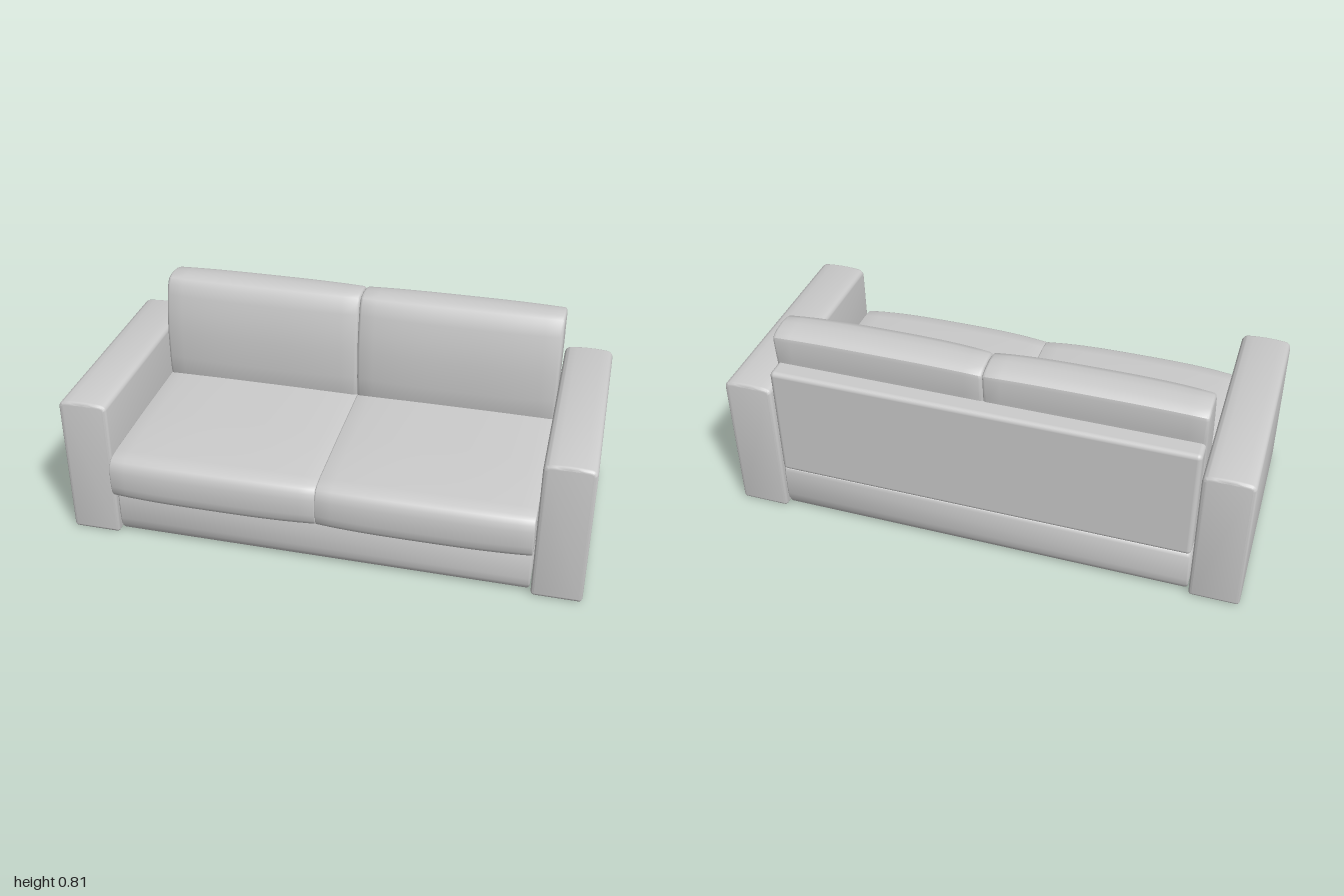
import * as THREE from 'three';
import { toCreasedNormals } from 'three/addons/utils/BufferGeometryUtils.js';
import { RoundedBoxGeometry } from 'three/addons/geometries/RoundedBoxGeometry.js';

const material = new THREE.MeshStandardMaterial({ color: 0xcccccc });

function addMesh(group, name, geometry) {
  const mesh = new THREE.Mesh(geometry, material);
  mesh.name = name;
  group.add(mesh);
  return mesh;
}

// Extrude an outline to an exact length with softly bevelled ends, centred on z = 0
function softExtrude(shape, length, bevel, steps = 1) {
  const geometry = new THREE.ExtrudeGeometry(shape, {
    depth: length - 2 * bevel, steps, curveSegments: 6,
    bevelThickness: bevel, bevelSize: bevel, bevelOffset: -bevel, bevelSegments: 3,
  });
  return geometry.translate(0, 0, -length / 2 + bevel);
}

// Cushion: a side profile of [z, y] points swept across x, then puffed in the middle
function cushion(profile, width, bevel, puff) {
  const shape = new THREE.Shape(profile.map(([z, y]) => new THREE.Vector2(-z, y)));
  const geometry = softExtrude(shape, width, bevel, 14).rotateY(Math.PI / 2);
  const p = geometry.attributes.position;
  for (let i = 0; i < p.count; i++) {
    const t = p.getX(i) / (width / 2);
    const [dy, dz] = puff(p.getY(i), p.getZ(i), 1 - Math.abs(t) ** 3);
    p.setY(i, p.getY(i) + dy);
    p.setZ(i, p.getZ(i) + dz);
  }
  return toCreasedNormals(geometry, 0.65);
}

// Rounded rectangle ring at height y
function ring(hx, hz, y, r) {
  const points = [];
  for (const [sx, sz, start] of [[1, 1, 0], [-1, 1, 1], [-1, -1, 2], [1, -1, 3]]) {
    for (let k = 0; k <= 4; k++) {
      const a = (start + k / 4) * Math.PI / 2;
      points.push([sx * (hx - r) + r * Math.cos(a), y, sz * (hz - r) + r * Math.sin(a)]);
    }
  }
  return points;
}

// Skin a stack of rings (top to bottom), closing both ends with a fan
function skinRings(rings) {
  const n = rings[0].length, last = (rings.length - 1) * n, index = [];
  const positions = rings.flat(2);
  for (let j = 0; j < rings.length - 1; j++) {
    for (let i = 0; i < n; i++) {
      const a = j * n + i, b = j * n + (i + 1) % n;
      index.push(a, b, a + n, b, b + n, a + n);
    }
  }
  for (let i = 1; i < n - 1; i++) {
    index.push(0, i + 1, i, last, last + i, last + i + 1);
  }
  const geometry = new THREE.BufferGeometry();
  geometry.setAttribute('position', new THREE.Float32BufferAttribute(positions, 3));
  geometry.setIndex(index);
  return toCreasedNormals(geometry, 0.8);
}

export function createModel() {
  const sofa = new THREE.Group();
  sofa.name = 'sofa';

  // Base plinth with rolled lower edge and a deep hollow underside
  const base = addMesh(sofa, 'base', skinRings([
    ring(0.79, 0.425, 0.199, 0.01),
    ring(0.802, 0.437, 0.194, 0.012),
    ring(0.805, 0.442, 0.182, 0.012),
    ring(0.805, 0.442, 0.07, 0.012),
    ring(0.805, 0.437, 0.04, 0.012),
    ring(0.803, 0.427, 0.018, 0.012),
    ring(0.795, 0.41, 0.004, 0.012),
    ring(0.77, 0.39, 0.002, 0.02),
    ring(0.71, 0.35, 0.004, 0.08),
    ring(0.70, 0.34, 0.015, 0.08),
    ring(0.69, 0.33, 0.06, 0.08),
    ring(0.675, 0.315, 0.11, 0.08),
    ring(0.65, 0.29, 0.145, 0.08),
    ring(0.60, 0.24, 0.165, 0.08),
    ring(0.50, 0.15, 0.17, 0.08),
  ]));
  base.position.z = -0.028;

  // Back panel standing on the base
  const back = addMesh(sofa, 'backPanel', new RoundedBoxGeometry(1.608, 0.466, 0.09, 4, 0.018));
  back.position.set(0, 0.431, -0.43);

  // Arms with gently crowned tops
  const arm = new THREE.Shape();
  arm.moveTo(-0.079, 0.001);
  arm.lineTo(0.079, 0.001);
  arm.quadraticCurveTo(0.095, 0.001, 0.095, 0.017);
  arm.lineTo(0.095, 0.552);
  arm.quadraticCurveTo(0.095, 0.573, 0.074, 0.579);
  arm.quadraticCurveTo(0, 0.588, -0.074, 0.579);
  arm.quadraticCurveTo(-0.095, 0.573, -0.095, 0.552);
  arm.lineTo(-0.095, 0.017);
  arm.quadraticCurveTo(-0.095, 0.001, -0.079, 0.001);
  const armGeometry = toCreasedNormals(softExtrude(arm, 0.897, 0.013), 0.65);

  // Seat cushion: rounded front, crowned top
  const seatGeometry = cushion([
    [-0.40, 0.198], [0.432, 0.198], [0.446, 0.205], [0.455, 0.222], [0.459, 0.25], [0.46, 0.285],
    [0.458, 0.315], [0.452, 0.338], [0.441, 0.354], [0.425, 0.363], [0.38, 0.368], [0.1, 0.373], [-0.40, 0.373],
  ], 0.806, 0.004, (y, z, k) => [
    y > 0.28 ? k * (0.01 + 0.007 * THREE.MathUtils.smoothstep(-z, -0.4, 0.2)) * (y - 0.28) / 0.09 : 0,
    k * 0.016 * THREE.MathUtils.smoothstep(z, 0.3, 0.45),
  ]);

  // Back cushion: upright lower front, leaning top, swollen middle
  const backGeometry = cushion([
    [-0.385, 0.35], [-0.235, 0.35], [-0.224, 0.385], [-0.22, 0.46], [-0.221, 0.58], [-0.232, 0.66],
    [-0.247, 0.73], [-0.26, 0.77], [-0.275, 0.79], [-0.298, 0.798], [-0.33, 0.8], [-0.37, 0.795],
    [-0.398, 0.786], [-0.408, 0.778], [-0.411, 0.765], [-0.404, 0.68], [-0.396, 0.58],
  ], 0.806, 0.012, (y, z, k) => [
    k * 0.007 * THREE.MathUtils.smoothstep(y, 0.7, 0.8),
    k * 0.019 * THREE.MathUtils.smoothstep(z, -0.36, -0.24),
  ]);

  for (const [side, s] of [['left', 1], ['right', -1]]) {
    addMesh(sofa, side + 'Arm', armGeometry).position.set(s * 0.905, 0, -0.0275);
    addMesh(sofa, side + 'SeatCushion', seatGeometry).position.x = s * 0.403;
    addMesh(sofa, side + 'BackCushion', backGeometry).position.x = s * 0.403;
  }
  return sofa;
}
